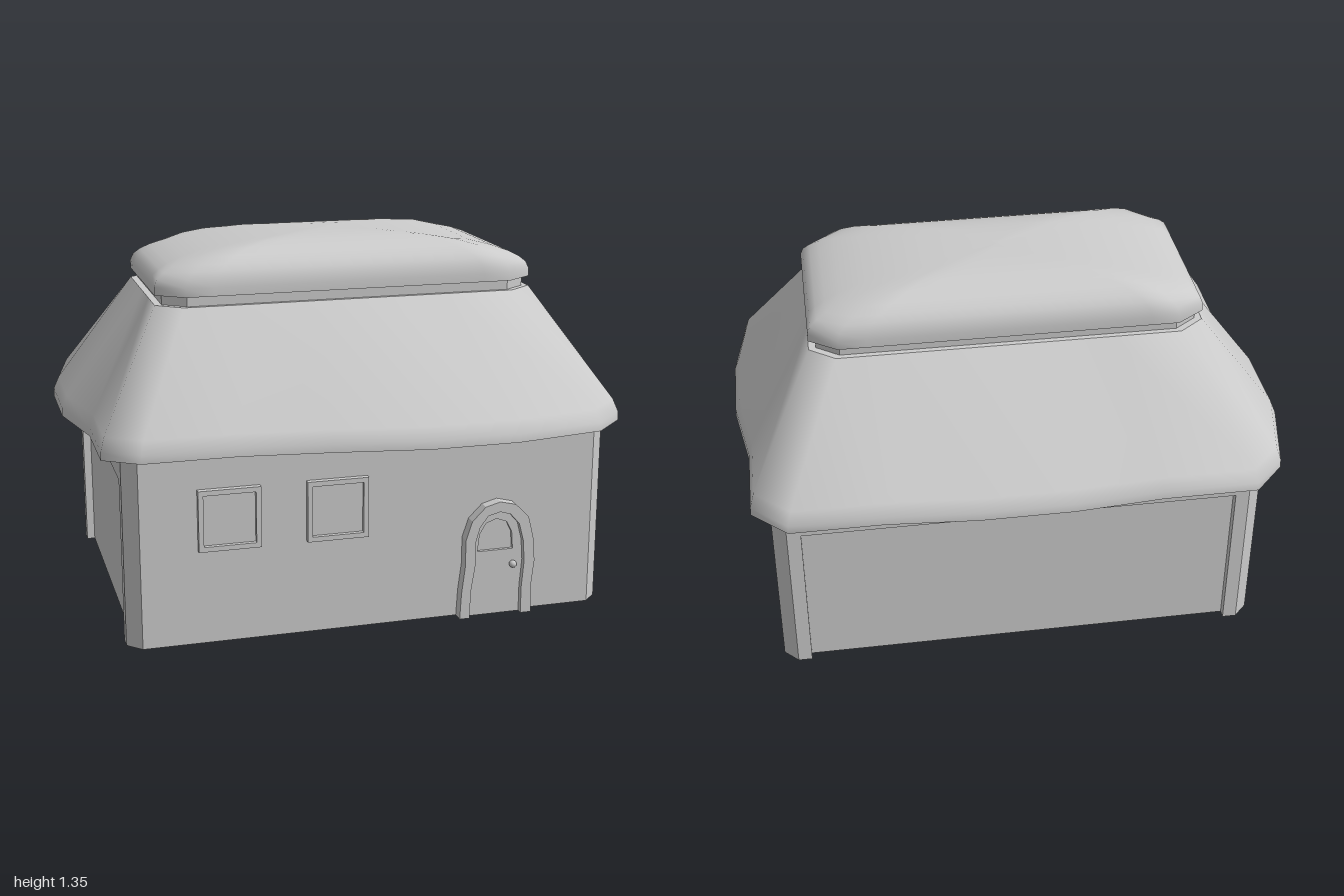
import * as THREE from 'three';

const smooth = new THREE.MeshStandardMaterial({ color: 0xcccccc, side: THREE.DoubleSide });
const flat = new THREE.MeshStandardMaterial({ color: 0xcccccc, side: THREE.DoubleSide, flatShading: true });

function add(parent, name, geometry, material = flat) {
  const mesh = new THREE.Mesh(geometry, material);
  mesh.name = name;
  parent.add(mesh);
  return mesh;
}

const v2 = (pts) => pts.map(([x, y]) => new THREE.Vector2(x, y));

// Skin through closed rings of [x, y, z], listed from bottom to top
function loft(rings) {
  const n = rings[0].length, index = [];
  for (let r = 0; r < rings.length - 1; r++) {
    for (let i = 0; i < n; i++) {
      const j = (i + 1) % n;
      const a = r * n + i, b = r * n + j, c = b + n, d = a + n;
      index.push(a, c, b, a, d, c);
    }
  }
  const g = new THREE.BufferGeometry();
  g.setAttribute('position', new THREE.Float32BufferAttribute(rings.flat(2), 3));
  g.setIndex(index);
  g.computeVertexNormals();
  return g;
}

// Rectangle with cut corners in plan: nx points along x sides, nz along z sides
function plan(x0, x1, z0, z1, cx, cz, nx, nz) {
  const pts = [];
  const side = (ax, az, bx, bz, n) => {
    for (let i = 0; i < n; i++) {
      const t = i / (n - 1);
      pts.push([ax + (bx - ax) * t, az + (bz - az) * t]);
    }
  };
  side(x0 + cx, z0, x1 - cx, z0, nx);
  side(x1, z0 + cz, x1, z1 - cz, nz);
  side(x1 - cx, z1, x0 + cx, z1, nx);
  side(x0, z1 - cz, x0, z0 + cz, nz);
  return pts;
}

const atHeight = (pts, y) => pts.map(([x, z]) => [x, y, z]);

// Horizontal sheet with an optional opening
function sheet(pts, y, hole) {
  const s = new THREE.Shape(v2(pts));
  if (hole) s.holes.push(new THREE.Path(v2(hole)));
  return new THREE.ShapeGeometry(s).rotateX(Math.PI / 2).translate(0, y, 0);
}

const extrude = (shape, depth, z) =>
  new THREE.ExtrudeGeometry(shape, { depth, bevelEnabled: false }).translate(0, 0, z);

const WALL_H = 0.68, FRONT = 0.613;
const wallPlan = plan(-0.87, 0.89, -0.64, FRONT, 0.05, 0.05, 2, 2);

// Walls: plain front and corners, the other three sides with a sunken panel
function buildWalls() {
  const walls = new THREE.Group();
  walls.name = 'walls';
  wallPlan.forEach(([ax, az], i) => {
    const [bx, bz] = wallPlan[(i + 1) % 8];
    const w = Math.hypot(bx - ax, bz - az), h = w / 2;
    const part = new THREE.Group();
    part.position.set((ax + bx) / 2, 0, (az + bz) / 2);
    part.rotation.y = Math.atan2(bz - az, -(bx - ax));
    walls.add(part);
    if (i % 2 === 1 || i === 4) {
      part.name = i === 4 ? 'frontWall' : 'cornerWall';
      add(part, part.name + 'Face', new THREE.PlaneGeometry(w, WALL_H).translate(0, WALL_H / 2, 0));
    } else {
      part.name = 'panelledWall';
      const p = h - 0.05, top = 0.59, depth = 0.03;
      const frame = new THREE.Shape(v2([[-h, 0], [-p, 0], [-p, top], [p, top], [p, 0], [h, 0], [h, WALL_H], [-h, WALL_H]]));
      add(part, 'wallFrame', extrude(frame, depth, -depth));
      add(part, 'wallPanel', new THREE.PlaneGeometry(2 * p, top).translate(0, top / 2, -depth));
    }
  });
  return walls;
}

// Thatched roof with an uneven eave, rising to a flat top
function buildRoof() {
  const roof = new THREE.Group();
  roof.name = 'roof';
  const eave = [
    [-0.82, -0.73], [-0.48, -0.73], [-0.16, -0.755], [0.17, -0.755], [0.5, -0.73], [0.83, -0.73],
    [0.955, -0.61], [0.955, -0.3], [1, -0.01], [1, 0.27], [0.955, 0.57],
    [0.83, 0.69], [0.5, 0.745], [0.18, 0.745], [-0.16, 0.69], [-0.48, 0.65], [-0.81, 0.65],
    [-0.935, 0.57], [-0.935, 0.27], [-1, -0.02], [-1, -0.32], [-0.935, -0.61],
  ];
  const top = plan(-0.69, 0.71, -0.365, 0.335, 0.09, 0.07, 6, 5);
  const rings = [[0.68, 0], [0.71, 0.005], [0.755, 0.065], [1.135, 1]].map(([y, k]) =>
    eave.map(([x, z], i) => [x + (top[i][0] - x) * k, y, z + (top[i][1] - z) * k]));
  add(roof, 'thatch', loft(rings), smooth);
  add(roof, 'eaveUnderside', sheet(eave, 0.68, wallPlan));
  add(roof, 'roofTop', sheet(top, 1.135));

  // Narrow neck below the ridge cap
  const neck = plan(-0.665, 0.685, -0.345, 0.32, 0.08, 0.06, 2, 2);
  add(roof, 'ridgeNeck', loft([atHeight(neck, 1.13), atHeight(neck, 1.175)]));

  // Domed ridge cap
  const cx = 0.01, cz = -0.015, hx = 0.7, hz = 0.35;
  const rim = plan(-hx, hx, -hz, hz, 0.1, 0.07, 13, 7);
  const dome = [1, 0.985, 0.95, 0.9, 0.82, 0.7, 0.55, 0.4, 0.2, 0].map((s) =>
    rim.map(([x, z]) => {
      const u = (x * s) / hx;
      return [cx + x * s, 1.2 + 0.145 * Math.sqrt(Math.max(0, 1 - Math.max(s ** 3, u * u))), cz + z * s];
    }));
  const base = rim.map(([x, z]) => [cx + x, 1.17, cz + z]);
  add(roof, 'ridgeCap', loft([base, ...dome]), smooth);
  add(roof, 'ridgeCapUnderside', sheet(base.map(([x, , z]) => [x, z]), 1.17));
  return roof;
}

// Square window with a raised frame
function buildWindow(x) {
  const win = new THREE.Group();
  win.name = 'window';
  win.position.set(x, 0.453, FRONT);
  const square = (r) => v2([[-r, -r], [r, -r], [r, r], [-r, r]]);
  const frame = new THREE.Shape(square(0.11));
  frame.holes.push(new THREE.Path(square(0.092)));
  add(win, 'windowFrame', extrude(frame, 0.032, -0.01));
  add(win, 'windowPane', extrude(new THREE.Shape(square(0.092)), 0.012, -0.006));
  return win;
}

// Crooked arched door with a raised surround, small window and knob
function buildDoor() {
  const door = new THREE.Group();
  door.name = 'door';
  door.position.z = FRONT;
  const outer = [[0.325, 0], [0.33, 0.1], [0.342, 0.2], [0.342, 0.3], [0.365, 0.37], [0.415, 0.42], [0.47, 0.435],
    [0.53, 0.42], [0.58, 0.37], [0.6, 0.29], [0.608, 0.2], [0.597, 0.1], [0.6, 0]];
  const inner = [[0.56, 0], [0.56, 0.1], [0.568, 0.2], [0.562, 0.28], [0.545, 0.345], [0.51, 0.385], [0.47, 0.397],
    [0.425, 0.385], [0.395, 0.345], [0.38, 0.29], [0.38, 0.2], [0.365, 0.1], [0.363, 0]];
  add(door, 'doorSurround', extrude(new THREE.Shape(v2([...outer, ...inner])), 0.052, -0.01));
  const leaf = new THREE.Shape(v2(inner));
  const light = [[0.395, 0.245], [0.53, 0.245], [0.525, 0.31], [0.505, 0.35], [0.465, 0.365], [0.425, 0.35], [0.402, 0.31]];
  leaf.holes.push(new THREE.Path(v2(light)));
  add(door, 'doorLeaf', extrude(leaf, 0.026, -0.006));
  add(door, 'doorWindow', extrude(new THREE.Shape(v2(light)), 0.01, -0.002));
  add(door, 'doorKnob', new THREE.SphereGeometry(0.014, 12, 8), smooth).position.set(0.53, 0.188, 0.028);
  return door;
}

export function createModel() {
  const house = new THREE.Group();
  house.name = 'cottage';
  house.add(buildWalls(), buildRoof(), buildWindow(-0.51), buildWindow(-0.125), buildDoor());
  return house;
}
